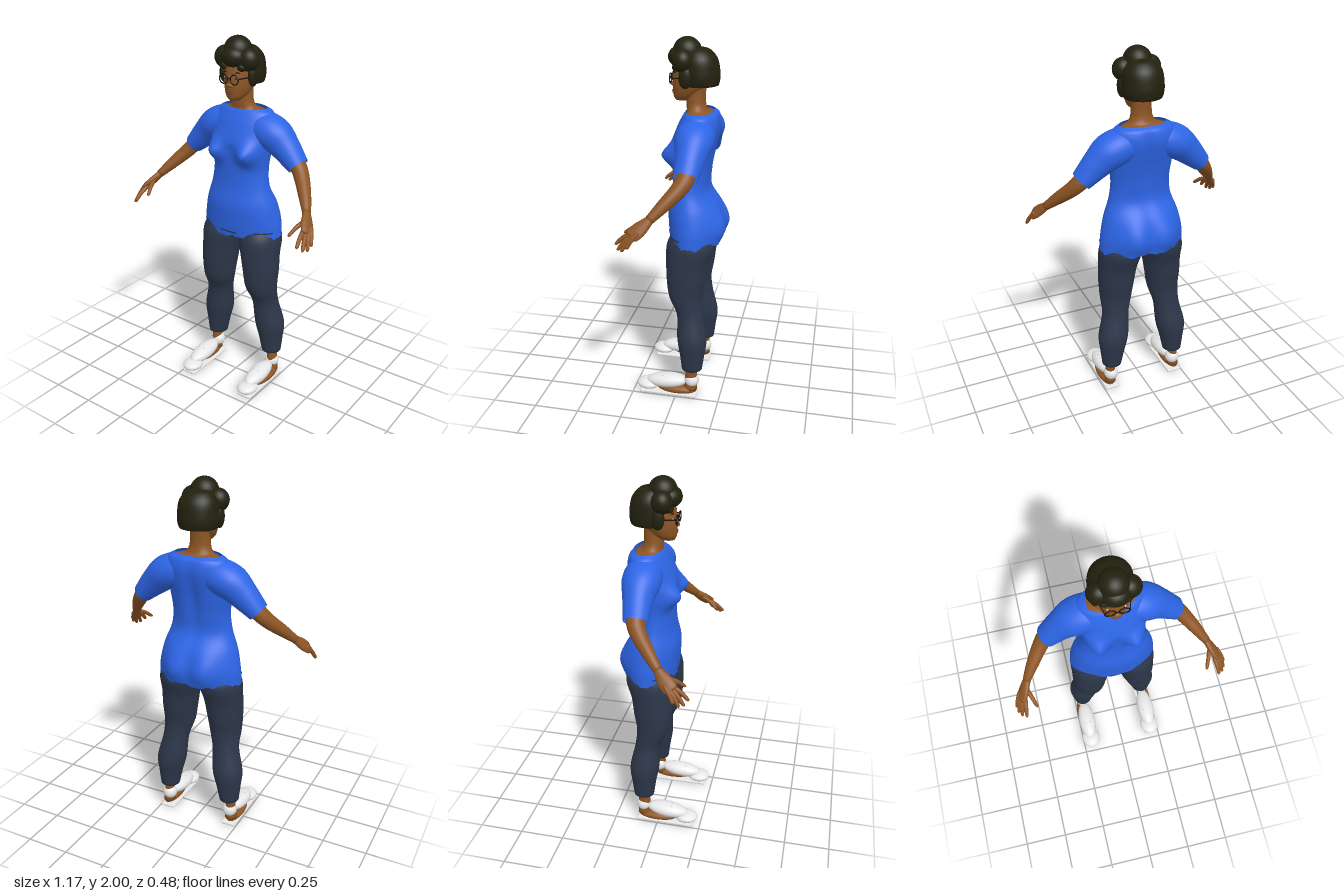
import * as THREE from 'three';
import { RoundedBoxGeometry } from 'three/addons/geometries/RoundedBoxGeometry.js';

const mat = (name, color, side = THREE.FrontSide) => {
  const m = new THREE.MeshStandardMaterial({ color, side });
  m.name = name;
  return m;
};

// Smooth skin through elliptical sections [x, y, z, ru, rv], listed from the top down.
// along: rings stand square to the path instead of lying level.
function loft(rows, { along = false, seg = 32, steps = 6, warp, caps = true, from = 0, to = Math.PI * 2 } = {}) {
  const path = new THREE.CatmullRomCurve3(rows.map(r => new THREE.Vector3(r[0], r[1], r[2])), false, 'catmullrom', 0.5);
  const size = new THREE.CatmullRomCurve3(rows.map(r => new THREE.Vector3(r[3], r[4], 0)), false, 'catmullrom', 0.5);
  const n = (rows.length - 1) * steps;
  const closed = to - from > 6.28;
  const cols = closed ? seg : seg + 1;
  const pos = [], idx = [];
  const front = new THREE.Vector3(0, 0, 1);
  for (let i = 0; i <= n; i++) {
    const c = path.getPoint(i / n), s = size.getPoint(i / n);
    const t = along ? path.getTangent(i / n) : new THREE.Vector3(0, -1, 0);
    const u = front.clone().cross(t).normalize(), v = t.clone().cross(u);
    for (let j = 0; j < cols; j++) {
      const a = from + (to - from) * j / seg;
      const p = c.clone().addScaledVector(u, s.x * Math.sin(a)).addScaledVector(v, s.y * Math.cos(a));
      if (warp) warp(p, a);
      pos.push(p.x, p.y, p.z);
    }
  }
  for (let i = 0; i < n; i++) for (let j = 0; j < seg; j++) {
    const k = (j + 1) % cols, A = i * cols + j, B = i * cols + k, C = A + cols, D = B + cols;
    idx.push(A, C, B, B, C, D);
  }
  if (caps && closed) {
    const top = pos.length / 3, end = n * cols, a = rows[0], b = rows[rows.length - 1];
    pos.push(a[0], a[1], a[2], b[0], b[1], b[2]);
    for (let j = 0; j < seg; j++) {
      const k = (j + 1) % seg;
      idx.push(top, j, k, top + 1, end + k, end + j);
    }
  }
  const g = new THREE.BufferGeometry();
  g.setAttribute('position', new THREE.Float32BufferAttribute(pos, 3));
  g.setIndex(idx);
  g.computeVertexNormals();
  return g;
}

export function createModel() {
  const root = new THREE.Group();
  root.name = 'standingWoman';
  const skin = mat('brownSkin', 0x8d5524), shirt = mat('blueShirt', 0x2d65e6, THREE.DoubleSide);
  const pants = mat('navyTrousers', 0x2d374a, THREE.DoubleSide), hair = mat('darkHair', 0x22210f);
  const white = mat('whiteShoe', 0xe8e8e8), dark = mat('darkFrame', 0x1c130b);
  const lip = mat('lip', 0x7a4224), eyeWhite = mat('eyeWhite', 0xd8d0c4), grey = mat('greyLace', 0x9a9a9a);

  const add = (name, g, m, x = 0, y = 0, z = 0) => {
    const mesh = new THREE.Mesh(g, m);
    mesh.name = name;
    mesh.position.set(x, y, z);
    root.add(mesh);
    return mesh;
  };
  const blob = (name, m, x, y, z, rx, ry = rx, rz = rx) =>
    add(name, new THREE.SphereGeometry(1, 28, 18).scale(rx, ry, rz), m, x, y, z);

  // Shirt body: bust, seat, spine hollow and an uneven hem
  const bump = (p, x, y, w, h) => Math.exp(-(((Math.abs(p.x) - x) / w) ** 2) - ((p.y - y) / h) ** 2);
  const shape = (p, a) => {
    const f = Math.cos(a);
    if (f > 0) p.z += 0.068 * bump(p, 0.105, 1.395, 0.055, 0.055) * Math.min(1, f * 2);
    else {
      p.z -= 0.038 * bump(p, 0.09, 1.0, 0.075, 0.1) * Math.min(1, -f * 2);
      p.z += 0.02 * bump(p, 0, 1.4, 0.04, 0.2);
    }
    if (p.y < 0.93) p.y += 0.006 * Math.sin(a * 9) + 0.004 * Math.sin(a * 23);
  };
  const body = [
    [0, 1.622, -0.09, 0.13, 0.075], [0, 1.6, -0.095, 0.165, 0.095], [0, 1.54, -0.085, 0.188, 0.115],
    [0, 1.46, -0.065, 0.18, 0.122], [0, 1.4, -0.06, 0.175, 0.113], [0, 1.3, -0.052, 0.165, 0.103],
    [0, 1.2, -0.047, 0.177, 0.104], [0, 1.1, -0.06, 0.212, 0.138], [0, 1.0, -0.07, 0.235, 0.145],
    [0, 0.917, -0.07, 0.242, 0.138]];
  add('shirtBody', loft(body, { seg: 72, steps: 8, warp: shape, caps: false }), shirt);

  // Trouser top and the slits showing through above the hem
  add('trouserTop', loft([[0, 0.99, -0.07, 0.2, 0.12], [0, 0.94, -0.07, 0.23, 0.128], [0, 0.905, -0.07, 0.2, 0.11]]), pants);
  for (const [a, b, y] of [[-0.22, 0.22, 0.947], [0.65, 1.25, 0.957], [-1.25, -0.65, 0.957]])
    add('hemSlit', loft([[0, y + 0.004, -0.07, 0.2425, 0.1465], [0, y - 0.004, -0.07, 0.2425, 0.1465]],
      { from: a, to: b, steps: 1, seg: 16 }), pants);

  // Neck with the skin inside the neckline
  add('neck', loft([[0, 1.77, -0.07, 0.05, 0.05], [0, 1.69, -0.066, 0.054, 0.05], [0, 1.65, -0.068, 0.06, 0.052],
    [0, 1.622, -0.075, 0.08, 0.058], [0, 1.604, -0.088, 0.125, 0.075], [0, 1.56, -0.088, 0.14, 0.08]]), skin);

  // Head and face
  add('head', loft([[0, 1.93, -0.06, 0.03, 0.04], [0, 1.89, -0.055, 0.07, 0.09], [0, 1.82, -0.05, 0.079, 0.102],
    [0, 1.765, -0.038, 0.076, 0.095], [0, 1.725, -0.022, 0.066, 0.078], [0, 1.695, -0.006, 0.05, 0.06],
    [0, 1.674, 0.006, 0.027, 0.037]]), skin);
  blob('noseBridge', skin, 0, 1.782, 0.05, 0.01, 0.03, 0.012);
  blob('noseTip', skin, 0, 1.757, 0.056, 0.018, 0.011, 0.015);
  blob('upperLip', lip, 0, 1.724, 0.052, 0.024, 0.006, 0.01);
  blob('lowerLip', lip, 0, 1.714, 0.051, 0.02, 0.007, 0.01);
  add('glassesBridge', new THREE.BoxGeometry(0.018, 0.005, 0.005), dark, 0, 1.794, 0.066);

  // Hair: back cap and piled curls
  add('hairCap', loft([[0, 1.948, -0.075, 0.02, 0.02], [0, 1.935, -0.078, 0.065, 0.06], [0, 1.89, -0.084, 0.1, 0.092],
    [0, 1.82, -0.088, 0.109, 0.102], [0, 1.78, -0.088, 0.107, 0.101], [0, 1.757, -0.086, 0.1, 0.097]]), hair);
  blob('topBun', hair, 0, 1.926, -0.018, 0.075, 0.074, 0.075);
  blob('frontCurl', hair, 0, 1.898, 0.02, 0.07, 0.055, 0.062);

  for (const s of [1, -1]) {
    const side = s > 0 ? 'left' : 'right';
    const tube = (name, rows, m, opt = {}) =>
      add(side + name, loft(rows.map(r => [r[0] * s, ...r.slice(1)]), opt), m);

    // Eyes, glasses and side curls
    blob(side + 'Eye', eyeWhite, s * 0.034, 1.792, 0.041, 0.013, 0.006, 0.006);
    blob(side + 'Pupil', dark, s * 0.034, 1.792, 0.044, 0.006, 0.006, 0.005);
    blob(side + 'Brow', hair, s * 0.036, 1.822, 0.04, 0.02, 0.004, 0.006);
    add(side + 'GlassesRim', new THREE.TorusGeometry(0.025, 0.0035, 8, 28), dark, s * 0.034, 1.79, 0.063);
    add(side + 'GlassesTemple', new THREE.BoxGeometry(0.004, 0.006, 0.1), dark, s * 0.072, 1.796, 0.015).rotation.y = s * -0.25;
    blob(side + 'Curl', hair, s * 0.072, 1.886, -0.008, 0.059, 0.06, 0.055);
    blob(side + 'SideLock', hair, s * 0.09, 1.805, -0.025, 0.022, 0.058, 0.035);
    blob(side + 'Fringe', hair, s * 0.055, 1.85, 0.025, 0.026, 0.022, 0.025);

    // Sleeve and arm
    tube('Sleeve', [[0.06, 1.52, -0.09, 0.08, 0.085], [0.12, 1.517, -0.09, 0.092, 0.1], [0.19, 1.49, -0.09, 0.093, 0.1],
      [0.255, 1.437, -0.088, 0.079, 0.08], [0.342, 1.352, -0.08, 0.055, 0.064]], shirt, { along: true, caps: false });
    tube('Arm', [[0.25, 1.44, -0.088, 0.06, 0.06], [0.34, 1.352, -0.08, 0.044, 0.048], [0.385, 1.3, -0.05, 0.039, 0.042],
      [0.44, 1.237, 0.01, 0.032, 0.034], [0.49, 1.175, 0.07, 0.021, 0.024]], skin, { along: true });

    // Hand
    tube('Palm', [[0.482, 1.185, 0.06, 0.018, 0.02], [0.5, 1.16, 0.085, 0.019, 0.03], [0.52, 1.133, 0.115, 0.019, 0.04],
      [0.54, 1.108, 0.143, 0.015, 0.038], [0.546, 1.1, 0.152, 0.006, 0.025]], skin, { along: true, seg: 20 });
    const fingers = [
      ['Thumb', 0.5, 1.145, 0.115, 0.465, 1.09, 0.205], ['IndexFinger', 0.522, 1.108, 0.16, 0.533, 1.052, 0.235],
      ['MiddleFinger', 0.536, 1.103, 0.152, 0.558, 1.033, 0.217], ['RingFinger', 0.546, 1.104, 0.14, 0.573, 1.032, 0.194],
      ['LittleFinger', 0.55, 1.11, 0.125, 0.578, 1.05, 0.166]];
    for (const [name, x, y, z, X, Y, Z] of fingers) {
      const at = (t, r, lift = 0) => [x + (X - x) * t, y + (Y - y) * t + lift, z + (Z - z) * t, r, r];
      tube(name, [at(-0.3, 0.011), at(0.1, 0.0125, 0.002), at(0.5, 0.011, 0.006), at(0.88, 0.009), at(1, 0.003)],
        skin, { along: true, seg: 12, steps: 4 });
    }

    // Trouser leg
    tube('TrouserLeg', [[0.115, 0.97, -0.07, 0.1, 0.11], [0.121, 0.9, -0.064, 0.119, 0.132], [0.133, 0.8, -0.048, 0.108, 0.117],
      [0.142, 0.7, -0.043, 0.1, 0.108], [0.147, 0.6, -0.042, 0.09, 0.092], [0.16, 0.5, -0.068, 0.076, 0.073],
      [0.181, 0.36, -0.085, 0.086, 0.083], [0.19, 0.26, -0.088, 0.07, 0.07], [0.195, 0.172, -0.088, 0.056, 0.058]], pants);

    // Ankle, foot and shoe
    tube('Ankle', [[0.2, 0.22, -0.085, 0.03, 0.036], [0.203, 0.14, -0.085, 0.027, 0.033], [0.206, 0.04, -0.08, 0.034, 0.04]], skin);
    blob(side + 'Foot', skin, s * 0.21, 0.036, -0.005, 0.043, 0.027, 0.115);
    blob(side + 'ShoeHeel', white, s * 0.2, 0.096, -0.088, 0.042, 0.042, 0.042);
    blob(side + 'ShoeUpper', white, s * 0.2, 0.076, 0.055, 0.053, 0.041, 0.122).rotation.x = 0.09;
    blob(side + 'ShoeToe', white, s * 0.2, 0.044, 0.166, 0.057, 0.029, 0.066);
    add(side + 'ShoeSole', new RoundedBoxGeometry(0.085, 0.014, 0.33, 2, 0.005), white, s * 0.203, 0.007, 0.045);
    for (const z of [0.015, 0.047, 0.08])
      add(side + 'Lace', new THREE.BoxGeometry(0.04, 0.004, 0.004), grey, s * 0.2, 0.113 - z * 0.03, z);
  }
  return root;
}
